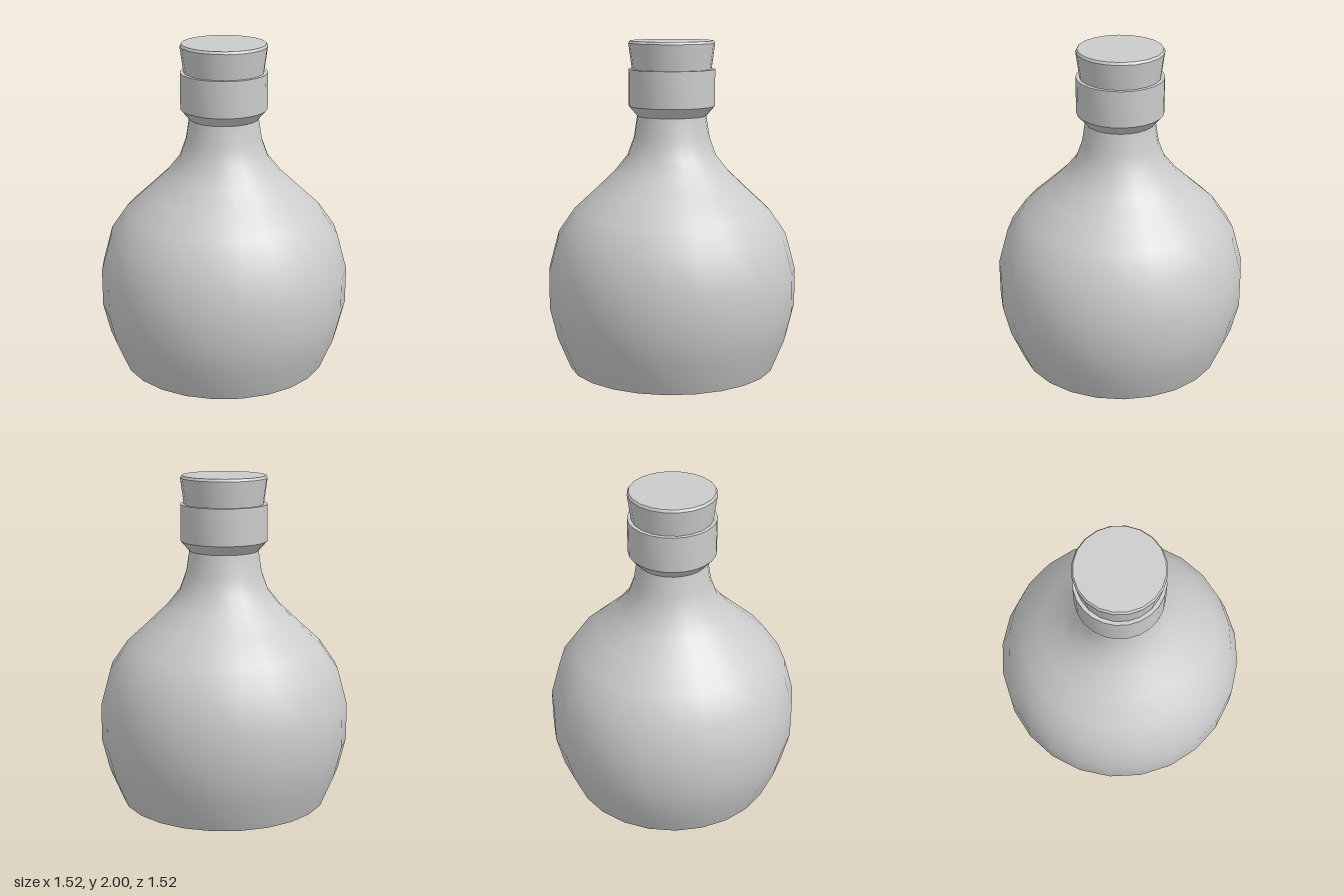
import * as THREE from 'three';
import { toCreasedNormals } from 'three/addons/utils/BufferGeometryUtils.js';

const material = new THREE.MeshStandardMaterial({ color: 0xcccccc });

// Turns a profile of [radius, height] points, listed from bottom to top
function turned(name, profile, sides) {
  const points = profile.map(([r, y]) => new THREE.Vector2(r, y));
  const geometry = toCreasedNormals(new THREE.LatheGeometry(points, sides), Math.PI / 6);
  const mesh = new THREE.Mesh(geometry, material);
  mesh.name = name;
  return mesh;
}

export function createModel() {
  const group = new THREE.Group();
  group.name = 'bottle';

  // Round belly with a flat base, drawn in to a slim neck
  group.add(turned('body', [
    [0, 0], [0.635, 0], [0.715, 0.195], [0.76, 0.385], [0.76, 0.61], [0.7, 0.83],
    [0.6, 0.975], [0.465, 1.1], [0.35, 1.21], [0.27, 1.31], [0.23, 1.42], [0.21, 1.55],
  ], 24));

  // Lip ring with a bevelled underside
  group.add(turned('collar', [
    [0.2, 1.55], [0.21, 1.55], [0.262, 1.61], [0.262, 1.83], [0.235, 1.83], [0.235, 1.78],
  ], 24));

  // Tapered stopper with a small bevel on its top edge
  group.add(turned('stopper', [
    [0, 1.77], [0.232, 1.77], [0.24, 1.83], [0.261, 1.985], [0.252, 2], [0, 2],
  ], 20));

  return group;
}
